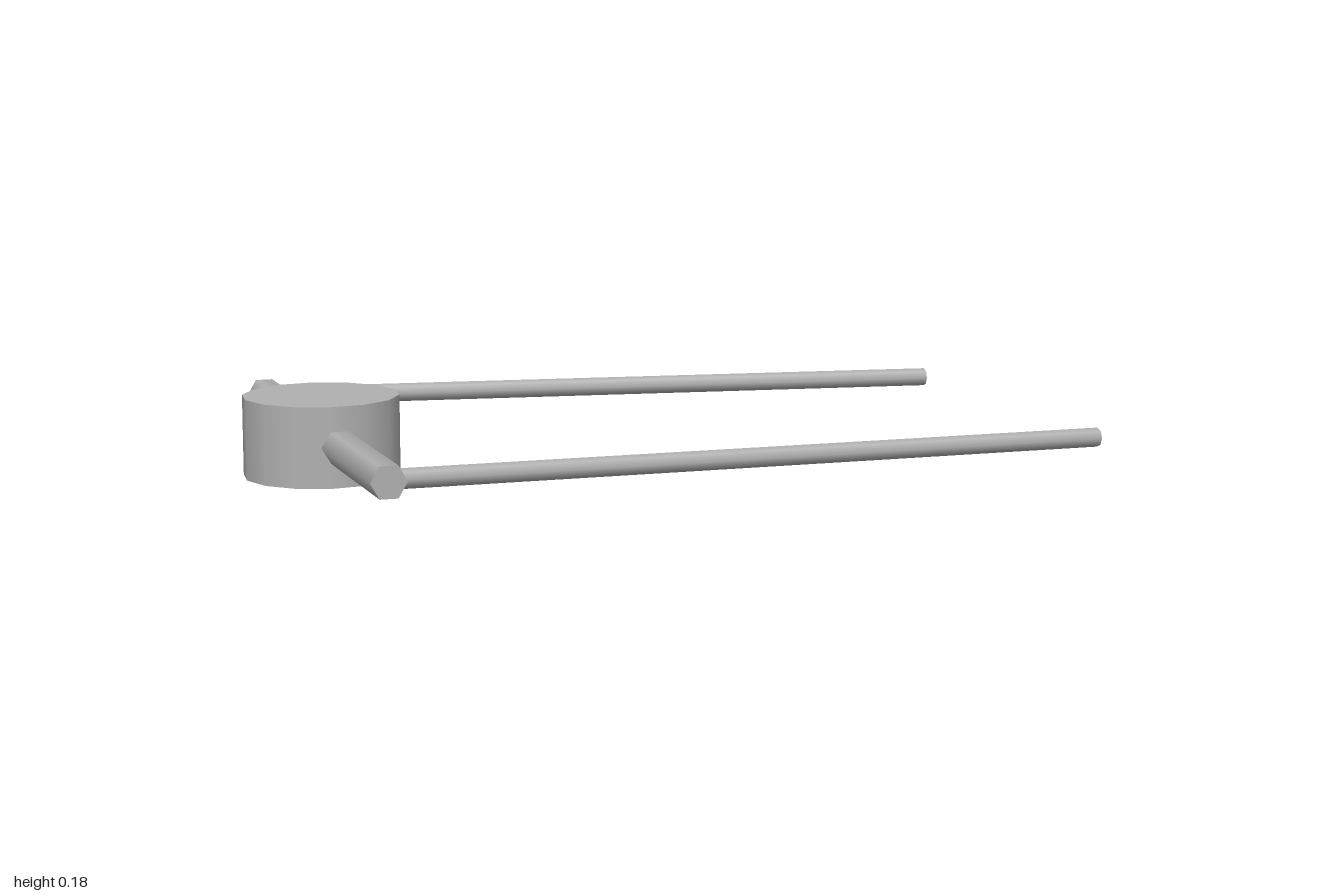
import * as THREE from 'three';

export function createModel() {
  const group = new THREE.Group();
  const grey = new THREE.MeshStandardMaterial({ color: 0xb0b0b0 });
  grey.name = 'plain grey';
  const v = (x, y, z) => new THREE.Vector3(x, y, z);

  // Closed rod between two points; spin turns its facets about its axis
  function rod(name, from, to, radius, sides, spin = 0) {
    const dir = to.clone().sub(from);
    const geometry = new THREE.CylinderGeometry(radius, radius, dir.length(), sides);
    geometry.rotateY(spin);
    // Lay along z first so that the facets keep a level reference
    geometry.rotateX(Math.PI / 2);
    const mesh = new THREE.Mesh(geometry, grey);
    mesh.name = name;
    mesh.position.copy(from).add(to).multiplyScalar(0.5);
    mesh.rotation.order = 'YXZ';
    mesh.rotation.y = Math.atan2(dir.x, dir.z);
    mesh.rotation.x = -Math.asin(dir.y / dir.length());
    group.add(mesh);
  }

  // Central drum standing on the ground
  const drum = new THREE.Mesh(
    new THREE.CylinderGeometry(0.175, 0.175, 0.18, 14).rotateY(Math.PI / 2), grey);
  drum.name = 'drum';
  drum.position.set(-0.548, 0.09, 0.542);
  group.add(drum);

  // Hexagonal crossbar through the drum, flat face upward
  rod('crossbar', v(-0.968, 0.09, 0.122), v(-0.128, 0.09, 0.962), 0.04, 6, Math.PI / 2);

  // Two long, slightly drooping and splayed arms
  rod('backArm', v(-0.943, 0.09, 0.148), v(0.316, 0.062, -0.979), 0.022, 8);
  rod('frontArm', v(-0.152, 0.09, 0.939), v(0.976, 0.062, -0.32), 0.022, 8);

  return group;
}
